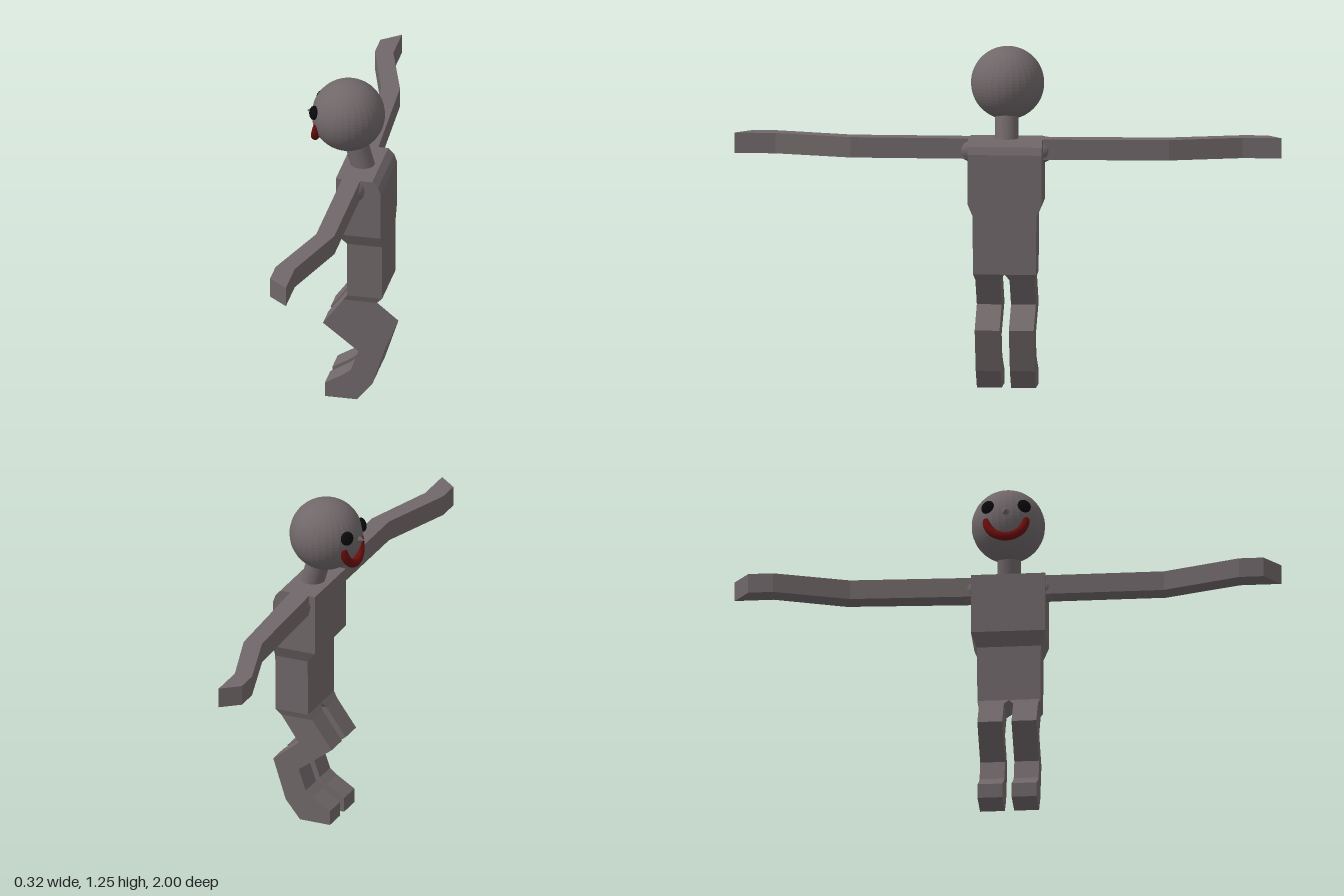
import * as THREE from 'three';

const skin = new THREE.MeshStandardMaterial({ color: 0x706769, flatShading: true });
const black = new THREE.MeshStandardMaterial({ color: 0x0a0a0a });
const red = new THREE.MeshStandardMaterial({ color: 0x6a0c0c });

// Closed solid through four-cornered rings, each an array of [x, y, z]
function loft(rings) {
  const tris = [];
  const quad = (a, b, c, d) => tris.push([a, b, c], [a, c, d]);
  quad(...rings[0]);
  for (let i = 0; i + 1 < rings.length; i++) {
    for (let k = 0; k < 4; k++) {
      const n = (k + 1) % 4;
      quad(rings[i][n], rings[i][k], rings[i + 1][k], rings[i + 1][n]);
    }
  }
  quad(...[...rings[rings.length - 1]].reverse());
  // Turn all faces outward when the enclosed volume comes out negative
  const v = tris.map((t) => t.map((p) => new THREE.Vector3(...p)));
  const volume = v.reduce((s, [a, b, c]) => s + a.dot(b.clone().cross(c)), 0);
  if (volume < 0) v.forEach((t) => t.reverse());
  const g = new THREE.BufferGeometry().setFromPoints(v.flat());
  g.computeVertexNormals();
  return g;
}

export function createModel() {
  const model = new THREE.Group();
  model.name = 'figure';
  const add = (name, geometry, material, x = 0, y = 0, z = 0, parent = model) => {
    const mesh = new THREE.Mesh(geometry, material);
    mesh.name = name;
    mesh.position.set(x, y, z);
    parent.add(mesh);
    return mesh;
  };

  // Torso: [y, front x, back x, half width]
  const torso = [
    [0.43, 0.015, 0.145, 0.115], [0.645, 0.015, 0.145, 0.117],
    [0.69, -0.023, 0.145, 0.136], [0.87, -0.023, 0.145, 0.136],
    [0.898, -0.023, 0.135, 0.136], [0.92, -0.023, 0.113, 0.136],
  ];
  add('torso', loft(torso.map(([y, f, b, w]) => [[f, y, -w], [b, y, -w], [b, y, w], [f, y, w]])), skin);

  // Legs: [front x, front y, back x, back y, inner z, outer z]
  const leg = [
    [0.015, 0.43, 0.145, 0.43, 0, 0.115], [0, 0.408, 0.125, 0.408, 0.017, 0.108],
    [-0.077, 0.302, 0.055, 0.308, 0.017, 0.108], [0.055, 0.2, 0.157, 0.225, 0.017, 0.108],
    [0.027, 0.12, 0.107, 0.07, 0.017, 0.108], [0, 0.098, 0.05, 0, 0.017, 0.108],
    [-0.07, 0.055, -0.07, 0, 0.017, 0.108],
  ];
  // Arms: [front x, front z, back x, back z], the two bending slightly differently
  const arms = {
    left: [[0, 0.12, 0.068, 0.12], [0, 0.57, 0.068, 0.57], [-0.09, 0.85, -0.018, 0.85], [-0.09, 0.94, -0.018, 1]],
    right: [[0.002, 0.12, 0.077, 0.12], [-0.012, 0.58, 0.055, 0.595],
      [-0.096, 0.855, -0.028, 0.857], [-0.096, 0.945, -0.028, 1]],
  };
  for (const [side, s] of [['left', 1], ['right', -1]]) {
    add(side + 'Leg', loft(leg.map(([fx, fy, bx, by, zi, zo]) =>
      [[fx, fy, s * zi], [bx, by, s * zi], [bx, by, s * zo], [fx, fy, s * zo]])), skin);
    add(side + 'Arm', loft(arms[side].map(([fx, fz, bx, bz]) =>
      [[fx, 0.845, s * fz], [bx, 0.845, s * bz], [bx, 0.92, s * bz], [fx, 0.92, s * fz]])), skin);
    add(side + 'Shoulder', new THREE.SphereGeometry(0.045, 24, 16), skin, 0.04, 0.876, s * 0.129);
  }

  // Neck leaning forward into the head
  const neck = add('neck', new THREE.CylinderGeometry(0.043, 0.043, 0.16, 32), skin, 0.036, 0.96, 0);
  neck.rotation.z = 0.27;

  // Head and face
  const head = new THREE.Group();
  head.name = 'head';
  head.position.set(-0.006, 1.117, 0);
  model.add(head);
  add('skull', new THREE.SphereGeometry(0.134, 32, 32), skin, 0, 0, 0, head);
  const nose = add('nose', new THREE.ConeGeometry(0.024, 0.04, 24), skin, -0.135, 0, 0, head);
  nose.rotation.z = Math.PI / 2;
  for (const [side, s] of [['left', 1], ['right', -1]]) {
    const eye = add(side + 'Eye', new THREE.SphereGeometry(0.026, 20, 14), black, -0.114, 0.028, s * 0.067, head);
    eye.scale.set(1, 1, 0.6);
    eye.lookAt(eye.position.clone().multiplyScalar(2).add(head.position));
  }

  // Smiling mouth: half ring with rounded ends, its bottom tipped forward
  const mouth = new THREE.Group();
  mouth.name = 'mouth';
  mouth.position.set(-0.1, -0.025, 0);
  mouth.rotation.set(0, -Math.PI / 2, -0.27, 'ZYX');
  head.add(mouth);
  const smile = add('lips', new THREE.TorusGeometry(0.07, 0.016, 14, 32, Math.PI), red, 0, 0, 0, mouth);
  smile.rotation.z = Math.PI;
  for (const s of [1, -1]) add('mouthCorner', new THREE.SphereGeometry(0.016, 14, 10), red, s * 0.07, 0, 0, mouth);

  return model;
}
